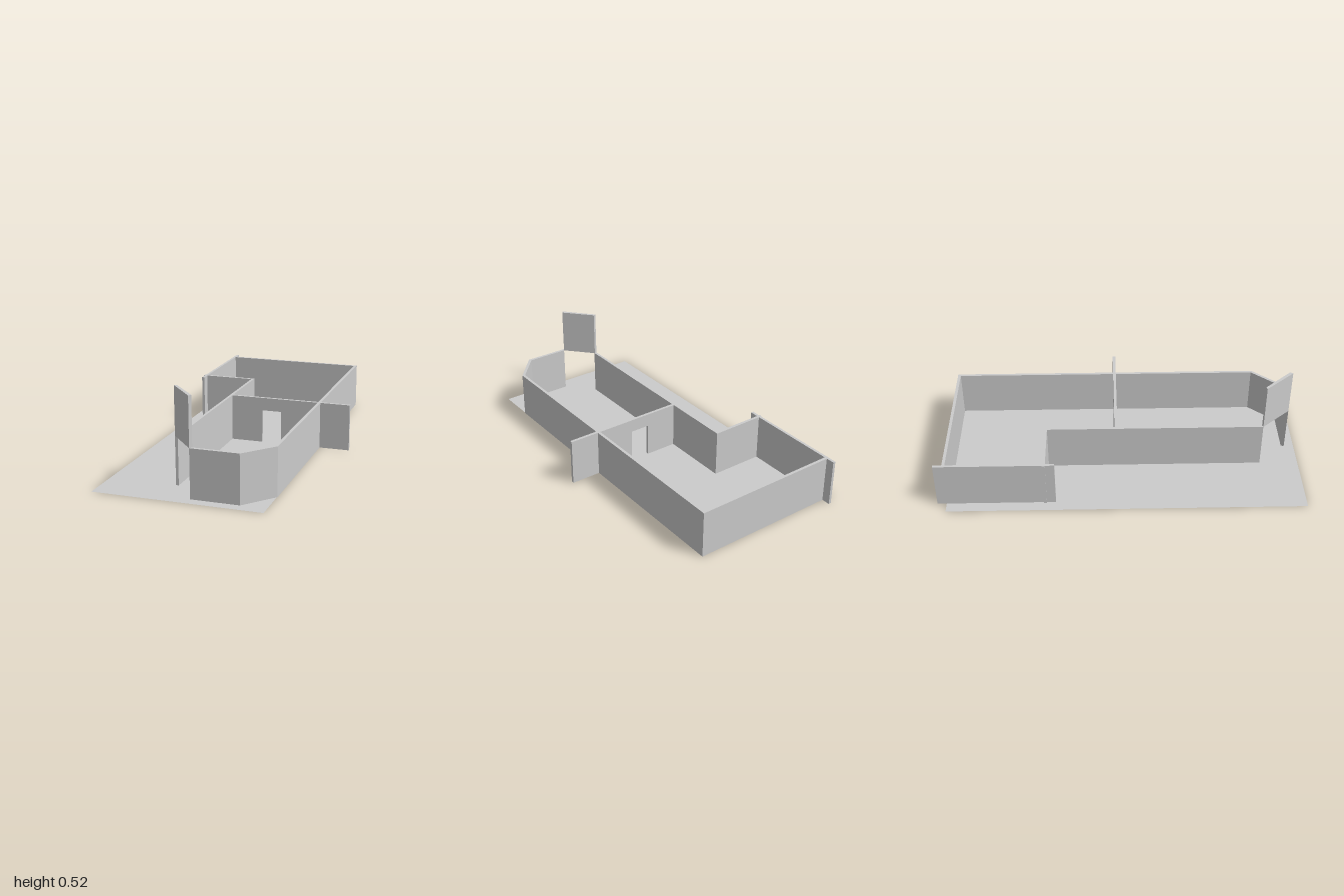
import * as THREE from 'three';

const H = 0.26; // wall height
const material = new THREE.MeshStandardMaterial({ color: 0xcccccc, flatShading: true });

// Upright wall from a footprint of [x, z] corners
function wall(name, corners, base = 0) {
  const shape = new THREE.Shape(corners.map(([x, z]) => new THREE.Vector2(x, -z)));
  const geometry = new THREE.ExtrudeGeometry(shape, { depth: H, bevelEnabled: false });
  geometry.rotateX(-Math.PI / 2);
  const mesh = new THREE.Mesh(geometry, material);
  mesh.position.y = base;
  mesh.name = name;
  return mesh;
}

const rect = (x0, x1, z0, z1) => [[x0, z0], [x0, z1], [x1, z1], [x1, z0]];

// Cross wall with a doorway cut up from the floor
function crossWall(x0, x1, z0, z1) {
  const [d0, d1, doorTop] = [0.025, 0.137, 0.187];
  const outline = [[x0, 0], [d0, 0], [d0, doorTop], [d1, doorTop], [d1, 0], [x1, 0], [x1, H], [x0, H]];
  const shape = new THREE.Shape(outline.map(([x, y]) => new THREE.Vector2(x, y)));
  const geometry = new THREE.ExtrudeGeometry(shape, { depth: z1 - z0, bevelEnabled: false });
  const mesh = new THREE.Mesh(geometry, material);
  mesh.position.z = z0;
  mesh.name = 'crossWallWithDoorway';
  return mesh;
}

export function createModel() {
  const model = new THREE.Group();
  model.name = 'floorPlan';

  // Thin floor sheet
  const floorMaterial = material.clone();
  floorMaterial.side = THREE.DoubleSide;
  const floor = new THREE.Mesh(new THREE.PlaneGeometry(0.893, 1.95).rotateX(-Math.PI / 2), floorMaterial);
  floor.position.set(-0.0865, 0, 0.025);
  floor.name = 'floor';
  model.add(floor);

  // Straight walls
  model.add(
    wall('backWall', rect(-0.456, 0.347, -0.953, -0.937)),
    wall('backRoomSideWall', rect(-0.471, -0.456, -1, -0.36)),
    wall('stepWall', rect(-0.477, -0.155, -0.425, -0.409)),
    wall('longSideWall', rect(-0.17, -0.155, -0.409, 0.785)),
    crossWall(-0.155, 0.53, -0.037, -0.021)
  );

  // Long wall and bay, mitred at the corners
  model.add(
    wall('oppositeLongWall', [[0.347, -0.953], [0.347, 0.78], [0.363, 0.785], [0.363, -0.953]]),
    wall('bayDiagonalWall', [[0.347, 0.78], [0.217, 0.929], [0.225, 0.945], [0.363, 0.785]]),
    wall('bayFrontWall', [[-0.02, 0.929], [-0.03, 0.945], [0.225, 0.945], [0.217, 0.929]])
  );

  // Raised diagonal panel above the open side of the bay
  model.add(wall('raisedBayPanel', [[-0.155, 0.78], [-0.17, 0.785], [-0.03, 0.945], [-0.02, 0.929]], H));

  return model;
}
